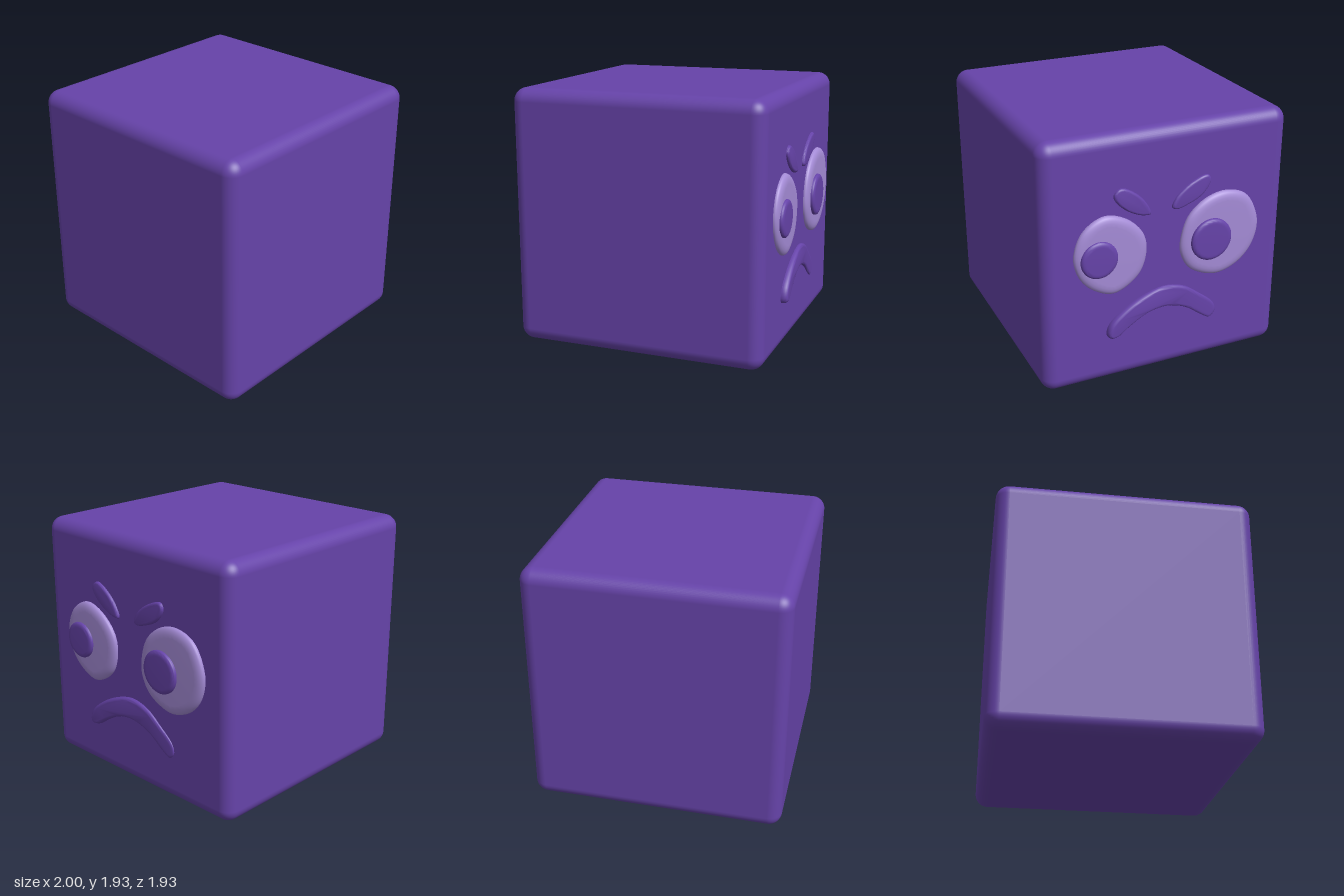
import * as THREE from 'three';
import { toCreasedNormals } from 'three/addons/utils/BufferGeometryUtils.js';
import { RoundedBoxGeometry } from 'three/addons/geometries/RoundedBoxGeometry.js';

const WALL = 0.93; // x of the side that carries the face

// Closed smooth outline through [u, y] points, where u = -z
function outline(points) {
  const curve = new THREE.CatmullRomCurve3(
    points.map(([u, y]) => new THREE.Vector3(u, y, 0)), true);
  const pts = curve.getPoints(72).slice(0, -1);
  return pts.map((p) => new THREE.Vector2(p.x, p.y));
}

function circle(u, y, r) {
  return Array.from({ length: 48 }, (_, i) => {
    const a = (i / 48) * Math.PI * 2;
    return new THREE.Vector2(u + r * Math.cos(a), y + r * Math.sin(a));
  });
}

// Rounded pad standing out of the wall; height may vary along u
function pad(name, pts, material, height, rim, edge, heightAt) {
  let geo = new THREE.ExtrudeGeometry(new THREE.Shape(pts), {
    depth: height - edge + 0.01, steps: 1, bevelEnabled: true,
    bevelThickness: edge, bevelSize: rim, bevelOffset: -rim, bevelSegments: 5,
  });
  geo.translate(0, 0, -0.01);
  if (heightAt) {
    const p = geo.attributes.position;
    for (let i = 0; i < p.count; i++) {
      if (p.getZ(i) > 0) p.setZ(i, p.getZ(i) * heightAt(p.getX(i)) / height);
    }
  }
  geo = toCreasedNormals(geo, 0.7);
  const mesh = new THREE.Mesh(geo, material);
  mesh.name = name;
  mesh.rotation.y = Math.PI / 2;
  mesh.position.x = WALL;
  return mesh;
}

export function createModel() {
  const purple = new THREE.MeshStandardMaterial({ color: 0x6643a9 });
  purple.name = 'purple';
  const lilac = new THREE.MeshStandardMaterial({ color: 0xa48bd6 });
  lilac.name = 'lilac';

  const model = new THREE.Group();
  model.name = 'grumpyCube';

  // Rounded cube
  const body = new THREE.Mesh(new RoundedBoxGeometry(1.93, 1.93, 1.93, 6, 0.1), purple);
  body.name = 'body';
  body.position.set(WALL - 0.965, 0.965, 0);
  model.add(body);

  const face = new THREE.Group();
  face.name = 'face';
  model.add(face);

  // Eyes
  const smallEye = outline([[-0.73, 1.08], [-0.66, 1.26], [-0.5, 1.35], [-0.33, 1.3], [-0.2, 1.17],
    [-0.17, 1.03], [-0.23, 0.85], [-0.42, 0.735], [-0.58, 0.79], [-0.69, 0.91]].reverse());
  const largeEye = outline([[0.1, 1.02], [0.16, 1.22], [0.3, 1.34], [0.47, 1.375], [0.64, 1.31],
    [0.74, 1.09], [0.7, 0.9], [0.58, 0.77], [0.4, 0.715], [0.2, 0.79], [0.12, 0.9]].reverse());
  face.add(pad('leftEye', smallEye, lilac, 0.04, 0.07, 0.035));
  face.add(pad('rightEye', largeEye, lilac, 0.04, 0.07, 0.035));

  // Pupils
  face.add(pad('leftPupil', circle(-0.55, 1.04, 0.14), purple, 0.065, 0.035, 0.02));
  face.add(pad('rightPupil', circle(0.335, 1.025, 0.163), purple, 0.07, 0.035, 0.02));

  // Eyebrows slanting down towards the middle
  const leftBrow = outline([[-0.42, 1.5], [-0.37, 1.535], [-0.25, 1.475], [-0.16, 1.37],
    [-0.14, 1.305], [-0.21, 1.305], [-0.34, 1.37], [-0.42, 1.46]].reverse());
  const rightBrow = outline([[0.03, 1.32], [0.06, 1.39], [0.17, 1.48], [0.31, 1.525],
    [0.335, 1.48], [0.27, 1.38], [0.15, 1.32], [0.06, 1.3]].reverse());
  face.add(pad('leftEyebrow', leftBrow, purple, 0.022, 0.02, 0.018));
  face.add(pad('rightEyebrow', rightBrow, purple, 0.022, 0.02, 0.018));

  // Frowning mouth, thicker towards +z
  const mouth = outline([[-0.48, 0.4], [-0.46, 0.48], [-0.36, 0.57], [-0.2, 0.655], [-0.02, 0.7],
    [0.14, 0.665], [0.27, 0.575], [0.4, 0.46], [0.415, 0.39], [0.37, 0.345], [0.3, 0.38],
    [0.16, 0.48], [0, 0.53], [-0.15, 0.515], [-0.3, 0.44], [-0.4, 0.375], [-0.455, 0.37]].reverse());
  face.add(pad('mouth', mouth, purple, 0.03, 0.025, 0.025, (u) => 0.029 - 0.045 * u));

  return model;
}
